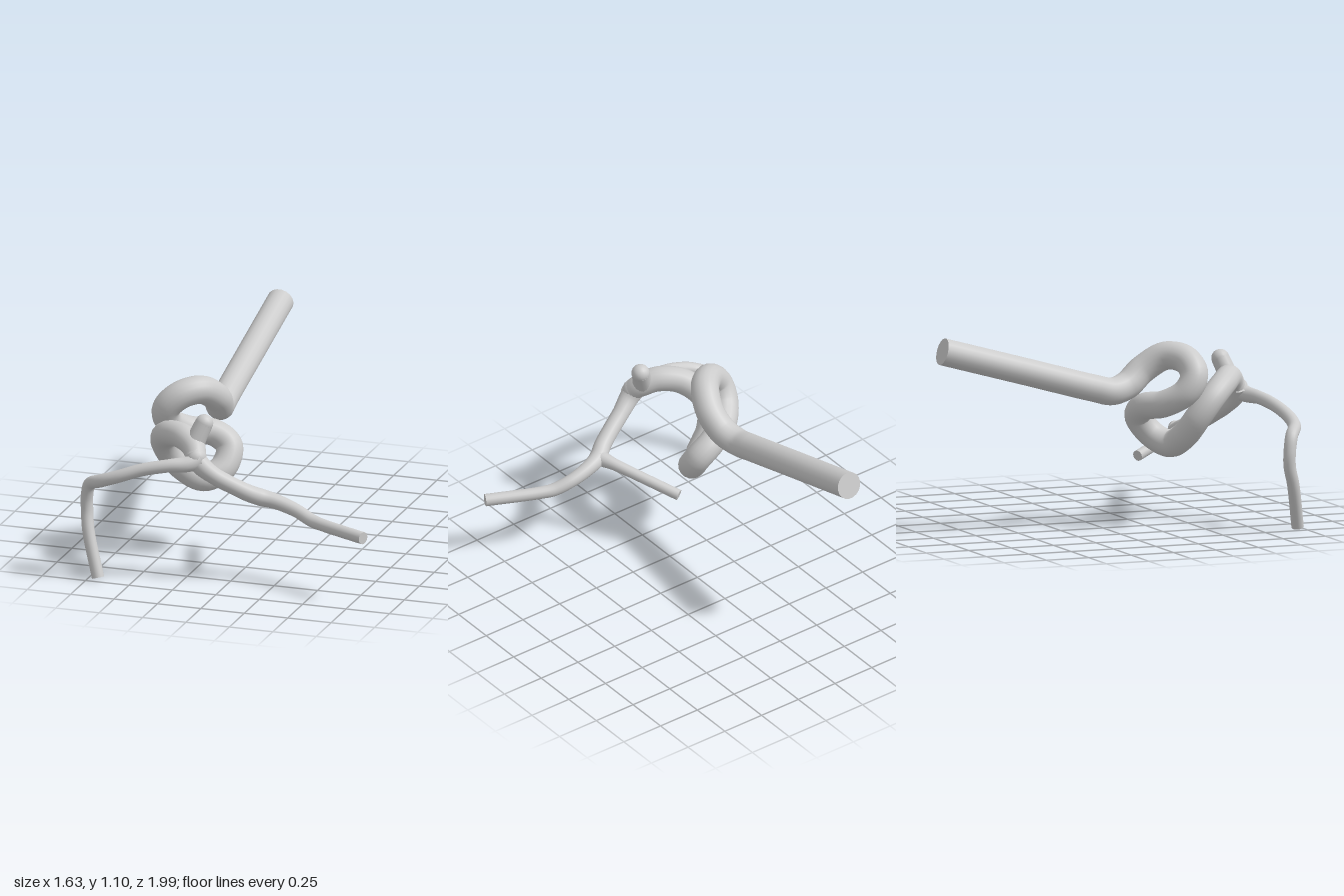
import * as THREE from 'three';

const material = new THREE.MeshStandardMaterial({ color: 0xcccccc });

// Tube along points [x, y, z, radius], radius blended between points, flat caps on both ends
function vessel(name, points, segments, sides = 18) {
  const group = new THREE.Group();
  group.name = name;
  const curve = new THREE.CatmullRomCurve3(points.map(p => new THREE.Vector3(p[0], p[1], p[2])));
  const geo = new THREE.TubeGeometry(curve, segments, 1, sides, false);
  const pos = geo.attributes.position;
  const v = new THREE.Vector3();
  for (let i = 0; i <= segments; i++) {
    const t = curve.getUtoTmapping(i / segments) * (points.length - 1);
    const k = Math.min(Math.floor(t), points.length - 2);
    const r = THREE.MathUtils.lerp(points[k][3], points[k + 1][3], t - k);
    const centre = curve.getPointAt(i / segments);
    for (let j = 0; j <= sides; j++) {
      const n = i * (sides + 1) + j;
      v.fromBufferAttribute(pos, n).sub(centre).multiplyScalar(r).add(centre);
      pos.setXYZ(n, v.x, v.y, v.z);
    }
  }
  const wall = new THREE.Mesh(geo, material);
  wall.name = name + 'Wall';
  group.add(wall);
  for (const u of [0, 1]) {
    const r = points[u * (points.length - 1)][3];
    const cap = new THREE.Mesh(new THREE.CircleGeometry(r, sides), material);
    const dir = curve.getTangentAt(u).multiplyScalar(u ? 1 : -1);
    cap.position.copy(curve.getPointAt(u));
    cap.quaternion.setFromUnitVectors(new THREE.Vector3(0, 0, 1), dir);
    cap.name = name + 'Cap';
    group.add(cap);
  }
  return group;
}

// Rounded swelling at a fork or a closed end
function knob(name, x, y, z, r) {
  const mesh = new THREE.Mesh(new THREE.SphereGeometry(r, 18, 12), material);
  mesh.position.set(x, y, z);
  mesh.name = name;
  return mesh;
}

export function createModel() {
  const model = new THREE.Group();
  model.name = 'branchingVessel';

  // Straight trunk from the back, then a double loop ending at the fork
  model.add(vessel('trunk', [
    [-0.305, 1.04, -0.97, 0.075], [-0.305, 0.90, -0.47, 0.075], [-0.305, 0.79, -0.08, 0.075],
    [-0.30, 0.765, 0.03, 0.076], [-0.275, 0.79, 0.13, 0.078], [-0.26, 0.87, 0.23, 0.078],
    [-0.31, 0.945, 0.345, 0.078], [-0.40, 0.93, 0.425, 0.078], [-0.475, 0.855, 0.445, 0.077],
    [-0.48, 0.765, 0.395, 0.075], [-0.40, 0.695, 0.30, 0.074], [-0.27, 0.665, 0.23, 0.074],
    [-0.185, 0.60, 0.235, 0.075], [-0.195, 0.50, 0.31, 0.075], [-0.28, 0.455, 0.385, 0.075],
    [-0.38, 0.515, 0.43, 0.074], [-0.45, 0.62, 0.48, 0.073], [-0.455, 0.715, 0.555, 0.072],
    [-0.385, 0.785, 0.655, 0.071], [-0.28, 0.80, 0.73, 0.07], [-0.205, 0.765, 0.78, 0.066],
    [-0.175, 0.72, 0.82, 0.056],
  ], 190));

  // Short closed stub above the fork
  model.add(vessel('stub', [
    [-0.21, 0.77, 0.77, 0.06], [-0.185, 0.83, 0.75, 0.052], [-0.16, 0.89, 0.73, 0.05],
  ], 12));
  model.add(knob('stubTip', -0.16, 0.89, 0.73, 0.05));
  model.add(knob('forkSwelling', -0.178, 0.72, 0.82, 0.06));

  // Left branch running out to +x
  model.add(vessel('leftBranch', [
    [-0.20, 0.745, 0.81, 0.06], [-0.15, 0.68, 0.82, 0.054], [-0.08, 0.62, 0.80, 0.047],
    [0.02, 0.56, 0.765, 0.046], [0.10, 0.515, 0.73, 0.047], [0.16, 0.485, 0.69, 0.048],
    [0.23, 0.465, 0.67, 0.042], [0.35, 0.425, 0.67, 0.037], [0.45, 0.388, 0.70, 0.036],
    [0.52, 0.38, 0.73, 0.034], [0.80, 0.375, 0.86, 0.034],
  ], 80));

  // Thin side branch going backwards from the left branch
  model.add(vessel('sideBranch', [
    [0.155, 0.485, 0.685, 0.046], [0.115, 0.468, 0.61, 0.033],
    [0.06, 0.44, 0.515, 0.03], [-0.08, 0.367, 0.275, 0.03],
  ], 30));

  // Right branch bending down to the ground
  model.add(vessel('rightBranch', [
    [-0.16, 0.71, 0.82, 0.055], [-0.22, 0.69, 0.865, 0.044], [-0.31, 0.682, 0.90, 0.036],
    [-0.45, 0.655, 0.935, 0.035], [-0.58, 0.61, 0.96, 0.035], [-0.68, 0.572, 0.95, 0.036],
    [-0.76, 0.53, 0.90, 0.035], [-0.783, 0.45, 0.88, 0.034], [-0.782, 0.37, 0.88, 0.034],
    [-0.765, 0.265, 0.908, 0.034], [-0.69, 0.02, 0.965, 0.034],
  ], 90));

  return model;
}
